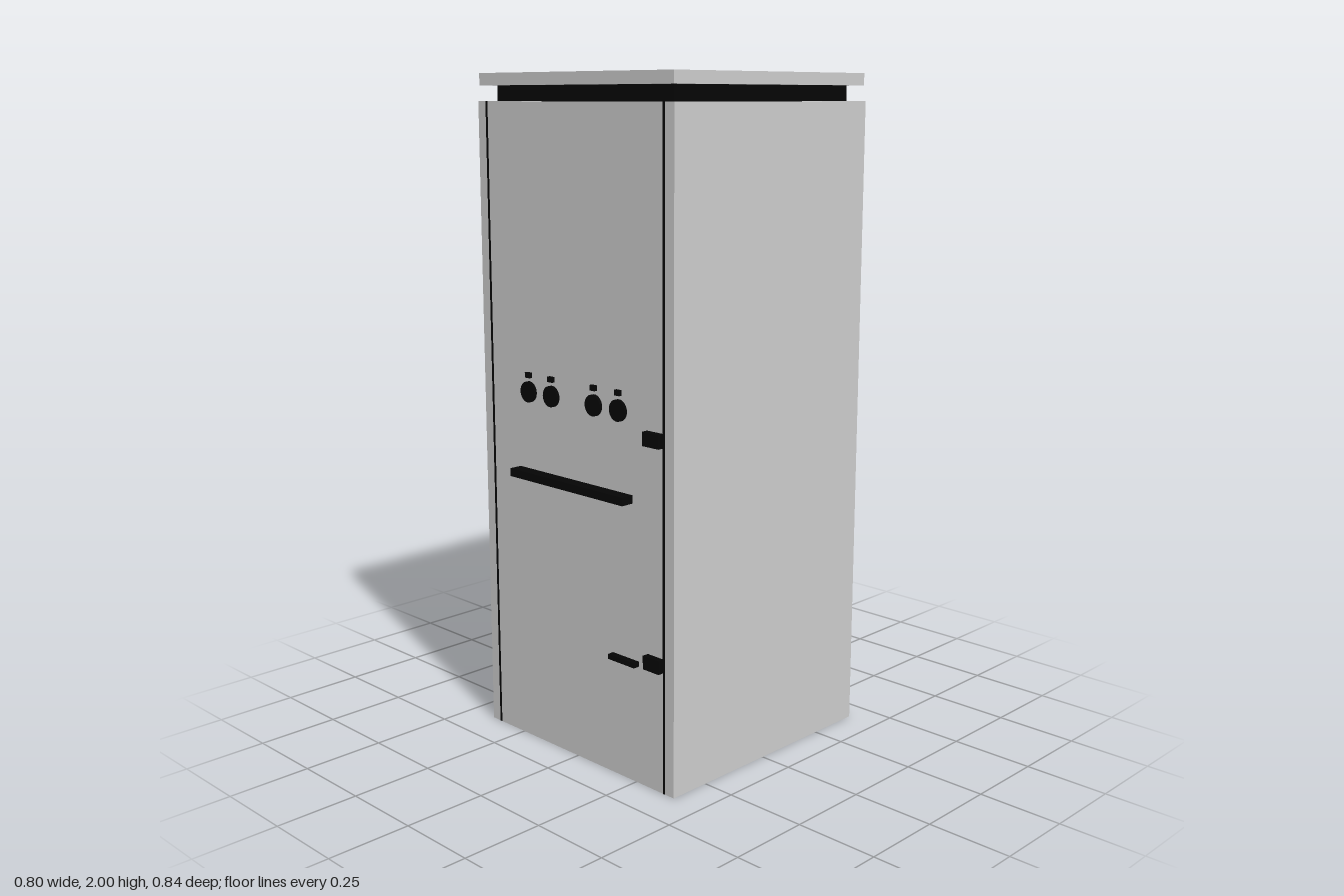
import * as THREE from 'three';

export function createModel() {
  const model = new THREE.Group();
  const grey = new THREE.MeshStandardMaterial({ color: 0xcccccc });
  const black = new THREE.MeshStandardMaterial({ color: 0x050505 });
  const FRONT = 0.38;

  const add = (name, geometry, material, x, y, z) => {
    const mesh = new THREE.Mesh(geometry, material);
    mesh.name = name;
    mesh.position.set(x, y, z);
    model.add(mesh);
    return mesh;
  };
  // Box given by its extents on each axis
  const box = (name, material, [x0, x1], [y0, y1], [z0, z1]) =>
    add(name, new THREE.BoxGeometry(x1 - x0, y1 - y0, z1 - z0), material,
      (x0 + x1) / 2, (y0 + y1) / 2, (z0 + z1) / 2);

  // Cabinet, recessed neck and overhanging lid
  box('cabinetBody', grey, [-0.4, 0.4], [0, 1.92], [-0.42, FRONT]);
  box('neck', black, [-0.36, 0.36], [1.92, 1.965], [-0.38, 0.34]);
  box('lid', grey, [-0.398, 0.394], [1.965, 2], [-0.418, 0.376]);

  // Door seams down both edges of the front
  for (const x of [-0.362, 0.362])
    box('doorSeam', black, [x - 0.004, x + 0.004], [0, 1.92], [FRONT - 0.01, FRONT + 0.001]);

  // Control dials, each with a small marker above
  for (const x of [-0.192, -0.092, 0.088, 0.188]) {
    const dial = add('dial', new THREE.CylinderGeometry(0.031, 0.031, 0.012, 32), black, x, 1.085, FRONT + 0.004);
    dial.rotation.x = Math.PI / 2;
    box('dialMarker', black, [x - 0.01, x + 0.01], [1.127, 1.143], [FRONT - 0.002, FRONT + 0.01]);
  }

  // Latches on the door edge
  for (const y of [1.025, 0.383])
    box('latch', black, [0.298, 0.36], [y - 0.02, y + 0.02], [FRONT - 0.002, 0.4]);

  // Wide pull bar and small lower handle
  box('pullBar', black, [-0.241, 0.239], [0.828, 0.852], [FRONT - 0.002, 0.42]);
  box('lowerHandle', black, [0.156, 0.262], [0.355, 0.37], [FRONT - 0.002, 0.4]);

  return model;
}
